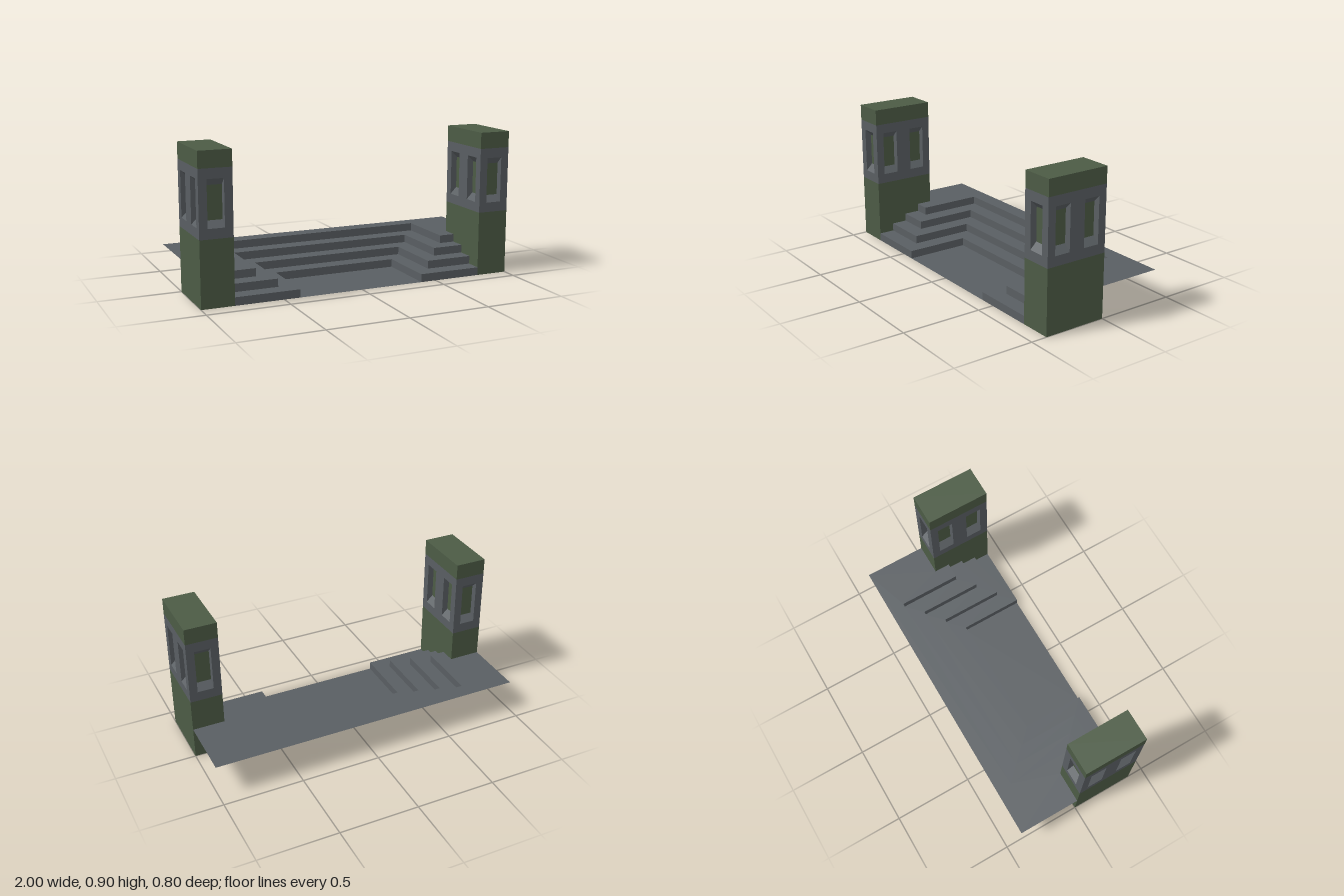
import * as THREE from 'three';

const stone = new THREE.MeshStandardMaterial({ color: 0x595e62, side: THREE.DoubleSide });
stone.name = 'greyStone';
const green = new THREE.MeshStandardMaterial({ color: 0x4c5b45 });
green.name = 'mossGreen';

function part(name, geometry, material, x = 0, y = 0, z = 0) {
  const mesh = new THREE.Mesh(geometry, material);
  mesh.name = name;
  mesh.position.set(x, y, z);
  return mesh;
}

// Flat quads, each given as four corners anticlockwise from its front
function quads(list) {
  const pos = [];
  for (const [a, b, c, d] of list) pos.push(...a, ...b, ...c, ...a, ...c, ...d);
  const g = new THREE.BufferGeometry();
  g.setAttribute('position', new THREE.Float32BufferAttribute(pos, 3));
  g.computeVertexNormals();
  return g;
}

// Horizontal sheet from an outline of [x, z] points
function sheet(points) {
  const shape = new THREE.Shape(points.map(([x, z]) => new THREE.Vector2(x, -z)));
  return new THREE.ShapeGeometry(shape).rotateX(-Math.PI / 2);
}

// Sunken steps: each contour wraps the court and turns outwards to the pillars
const RISE = 0.05, RUN = 0.1, COUNT = 4;
function contour(k) {
  const x = 0.4 + RUN * k, back = -RUN * k, front = 0.4 - RUN * k;
  const path = [[-0.8, front], [-x, front], [-x, back]];
  return [...path, ...path.map(([px, pz]) => [-px, pz]).reverse()];
}

function createSteps() {
  const steps = new THREE.Group();
  steps.name = 'sunkenSteps';
  steps.add(part('courtFloor', sheet([[-0.4, 0.4], [0.4, 0.4], [0.4, 0], [-0.4, 0]]), stone));
  const terrace = [[-0.8, 0], [-1, 0], [-1, -0.4], [1, -0.4], [1, 0], [0.8, 0]];
  for (let k = 0; k < COUNT; k++) {
    const line = contour(k), y0 = RISE * k, y1 = y0 + RISE;
    const faces = line.slice(1).map(([bx, bz], i) => {
      const [ax, az] = line[i];
      return [[ax, y0, az], [bx, y0, bz], [bx, y1, bz], [ax, y1, az]];
    });
    steps.add(part('riser', quads(faces), stone));
    const last = k === COUNT - 1;
    const outer = last ? terrace : contour(k + 1);
    steps.add(part(last ? 'terrace' : 'tread', sheet([...line, ...outer.slice().reverse()]), stone, 0, y1));
  }
  return steps;
}

// One side of the pillar's window band, facing +z, with recessed niches
const DEPTH = 0.04, HALF = 0.05;
const OUT_LOW = 0.46, OUT_HIGH = 0.74, IN_LOW = 0.5, IN_HIGH = 0.7;
function createWindowWall(width, centres) {
  const wall = new THREE.Group();
  wall.name = 'windowWall';
  const rect = (Type, l, r, b, t) => new Type([[l, b], [r, b], [r, t], [l, t]].map(p => new THREE.Vector2(...p)));
  const shape = rect(THREE.Shape, -width / 2, width / 2, 0.4, 0.8);
  for (const c of centres) {
    const l = c - HALF, r = c + HALF;
    shape.holes.push(rect(THREE.Path, l, r, OUT_LOW, OUT_HIGH));
    const o = (x, y) => [x, y, 0], n = (x, y) => [x, y, -DEPTH];
    wall.add(part('windowReveal', quads([
      [o(l, OUT_LOW), o(r, OUT_LOW), n(r, IN_LOW), n(l, IN_LOW)],
      [n(l, IN_HIGH), n(r, IN_HIGH), o(r, OUT_HIGH), o(l, OUT_HIGH)],
      [o(l, OUT_LOW), n(l, IN_LOW), n(l, IN_HIGH), o(l, OUT_HIGH)],
      [o(r, OUT_LOW), o(r, OUT_HIGH), n(r, IN_HIGH), n(r, IN_LOW)],
    ]), stone));
    wall.add(part('windowPane', new THREE.PlaneGeometry(2 * HALF, IN_HIGH - IN_LOW), green,
      c, (IN_LOW + IN_HIGH) / 2, -DEPTH));
  }
  wall.add(part('bandFace', new THREE.ShapeGeometry(shape), stone));
  return wall;
}

// Pillar: green base and cap with a grey window band between
function createPillar(name, x) {
  const pillar = new THREE.Group();
  pillar.name = name;
  pillar.add(part('pillarBase', new THREE.BoxGeometry(0.2, 0.4, 0.4), green, 0, 0.2, 0));
  pillar.add(part('pillarCap', new THREE.BoxGeometry(0.2, 0.1, 0.4), green, 0, 0.85, 0));
  for (let i = 0; i < 4; i++) {
    const narrow = i % 2 === 0, angle = i * Math.PI / 2, reach = narrow ? 0.2 : 0.1;
    const wall = narrow ? createWindowWall(0.2, [0]) : createWindowWall(0.4, [-0.1, 0.1]);
    wall.rotation.y = angle;
    wall.position.set(Math.sin(angle) * reach, 0, Math.cos(angle) * reach);
    pillar.add(wall);
  }
  pillar.position.set(x, 0, 0.2);
  return pillar;
}

export function createModel() {
  const model = new THREE.Group();
  model.name = 'steppedCourt';
  model.add(createSteps(), createPillar('leftPillar', 0.9), createPillar('rightPillar', -0.9));
  return model;
}
